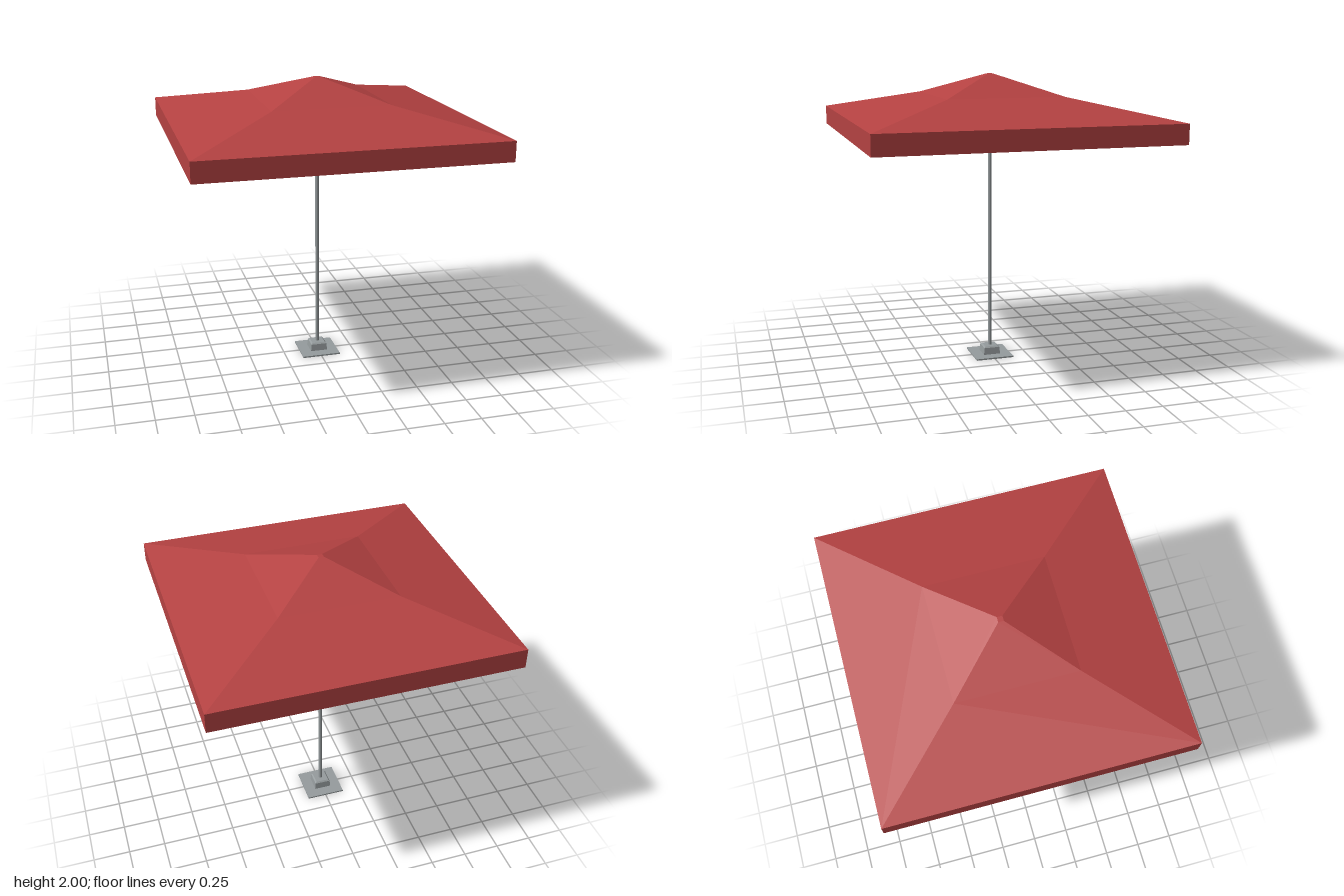
import * as THREE from 'three';

const red = new THREE.MeshStandardMaterial({ color: 0xb54242, side: THREE.DoubleSide });
red.name = 'red canvas';
const grey = new THREE.MeshStandardMaterial({ color: 0x969c9e });
grey.name = 'grey metal';

// Square solid of revolution: profile of [half width, height], bottom to top, flat faces
function squareLoft(name, profile, material) {
  const points = profile.map(([half, y]) => new THREE.Vector2(half * Math.SQRT2, y));
  const geometry = new THREE.LatheGeometry(points, 4, Math.PI / 4).toNonIndexed();
  geometry.computeVertexNormals();
  const mesh = new THREE.Mesh(geometry, material);
  mesh.name = name;
  return mesh;
}

export function createModel() {
  const model = new THREE.Group();
  model.name = 'parasol';

  // Canopy: two-pitch roof and a hanging valance, both open underneath
  const eave = [0.995, 1.725];
  model.add(squareLoft('canopyRoof', [eave, [0.4, 1.86], [0.018, 2], [0, 2]], red));
  model.add(squareLoft('canopyValance', [[0.995, 1.592], eave], red));

  // Pole
  const pole = new THREE.Mesh(new THREE.CylinderGeometry(0.013, 0.013, 1.92, 16), grey);
  pole.name = 'pole';
  pole.position.y = 1.02;
  model.add(pole);

  // Base: thin ground plate with a tapered, bevelled socket
  const plate = new THREE.Mesh(new THREE.BoxGeometry(0.27, 0.01, 0.27), grey);
  plate.name = 'basePlate';
  plate.position.y = 0.005;
  model.add(plate);
  model.add(squareLoft('baseSocket', [[0.06, 0.01], [0.055, 0.058], [0.046, 0.067], [0, 0.067]], grey));

  return model;
}
